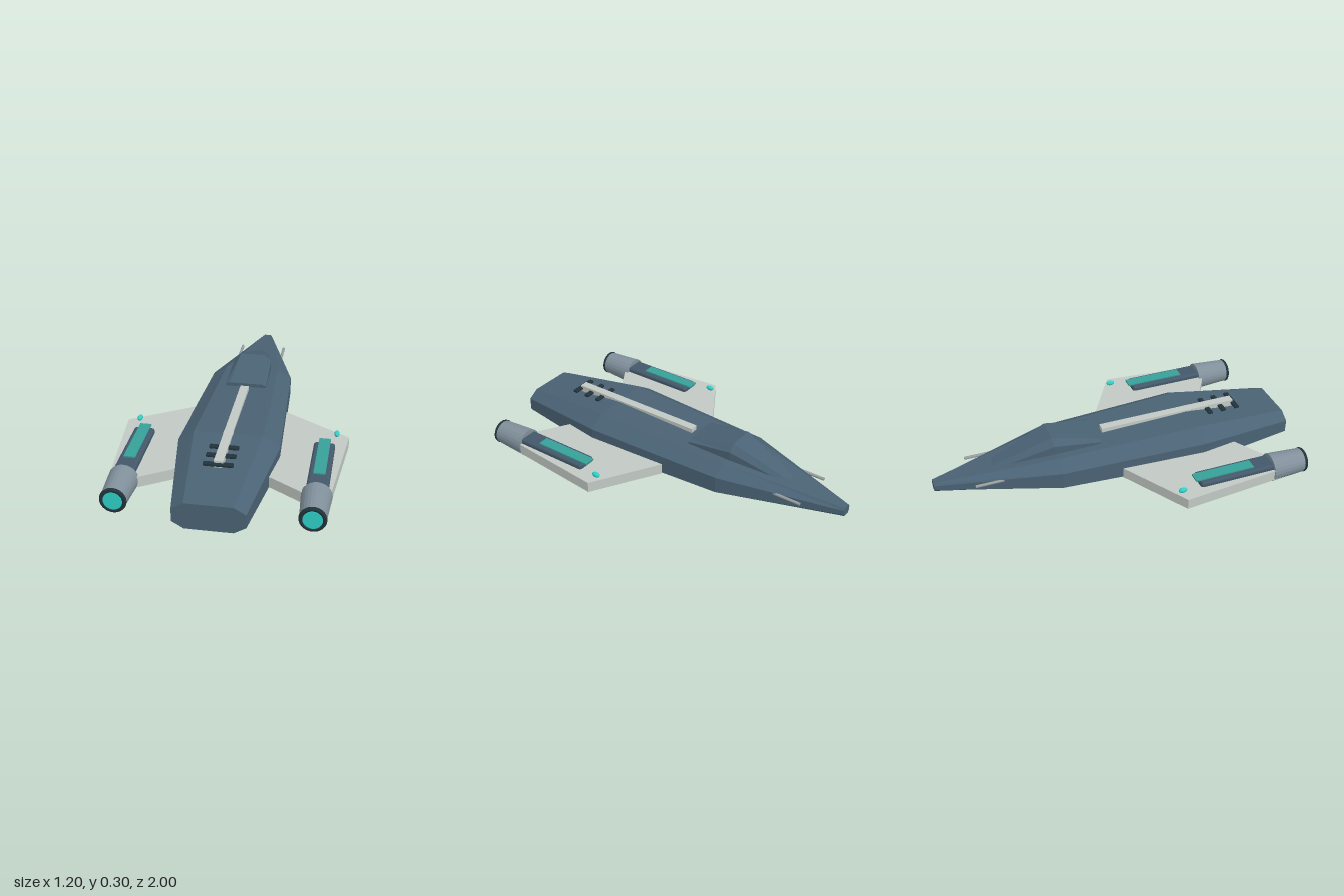
import * as THREE from 'three';
import { RoundedBoxGeometry } from 'three/addons/geometries/RoundedBoxGeometry.js';

const material = (name, color, flatShading = false) => {
  const m = new THREE.MeshStandardMaterial({ color, flatShading });
  m.name = name;
  return m;
};

// Joins equal-length rings (counter-clockwise seen from +z, ordered by z) and caps both ends
function loft(rings) {
  const pos = [], n = rings[0].length;
  const tri = (a, b, c) => pos.push(...a, ...b, ...c);
  for (let s = 0; s < rings.length - 1; s++) {
    const a = rings[s], b = rings[s + 1];
    for (let i = 0; i < n; i++) {
      const j = (i + 1) % n;
      tri(a[i], a[j], b[j]);
      tri(a[i], b[j], b[i]);
    }
  }
  const first = rings[0], last = rings[rings.length - 1];
  for (let i = 1; i < n - 1; i++) {
    tri(first[0], first[i + 1], first[i]);
    tri(last[0], last[i], last[i + 1]);
  }
  const g = new THREE.BufferGeometry();
  g.setAttribute('position', new THREE.Float32BufferAttribute(pos, 3));
  g.computeVertexNormals();
  return g;
}

// Chamfered eight-sided hull section
function octagon(z, w, y0, y1) {
  const cy = (y0 + y1) / 2, h = (y1 - y0) / 2, fx = w * 0.67, fy = h * 0.5;
  return [[w, -fy], [w, fy], [fx, h], [-fx, h], [-w, fy], [-w, -fy], [-fx, -h], [fx, -h]]
    .map(([x, y]) => [x, cy + y, z]);
}

// Canopy section: upright sides, chamfer, flat roof
function canopyRing(z, w, roof, base, shoulder, top) {
  return [[w, base], [w, shoulder], [roof, top], [-roof, top], [-w, shoulder], [-w, base]]
    .map(([x, y]) => [x, y, z]);
}

export function createModel() {
  const group = new THREE.Group();
  const hullMat = material('slate blue hull', 0x4a6274, true);
  const podMat = material('dark slate pod', 0x43586a);
  const wingMat = material('pale grey', 0xc2c9c4, true);
  const engineMat = material('steel grey', 0x80909b, true);
  const gunMat = material('gun grey', 0x979d9f);
  const darkMat = material('near black', 0x22333a);
  const glowMat = material('cyan glow', 0x2ed0c8);
  const tealMat = material('teal panel', 0x37a098);

  const add = (name, geometry, mat, x = 0, y = 0, z = 0, parent = group) => {
    const mesh = new THREE.Mesh(geometry, mat);
    mesh.name = name;
    mesh.position.set(x, y, z);
    parent.add(mesh);
    return mesh;
  };
  const rod = (rear, front, length, sides) =>
    new THREE.CylinderGeometry(rear, front, length, sides).rotateX(Math.PI / 2);

  // Hull, nose at -z
  add('hull', loft([
    octagon(-1, 0.028, 0.085, 0.135),
    octagon(-0.35, 0.225, 0.03, 0.215),
    octagon(0.45, 0.265, 0.004, 0.24),
    octagon(1, 0.18, 0.032, 0.175),
  ]), hullMat);

  // Canopy
  add('canopy', loft([
    canopyRing(-0.68, 0.03, 0.018, 0.15, 0.168, 0.175),
    canopyRing(-0.58, 0.063, 0.042, 0.16, 0.19, 0.214),
    canopyRing(-0.36, 0.106, 0.07, 0.19, 0.265, 0.3),
    canopyRing(-0.1, 0.113, 0.09, 0.2, 0.233, 0.243),
  ]), hullMat);

  // Dorsal spine and vents
  add('spine', new THREE.BoxGeometry(0.046, 0.038, 0.79), wingMat, 0, 0.23, 0.335);
  add('spineCollar', new THREE.CylinderGeometry(0.029, 0.029, 0.012, 6), wingMat, 0, 0.242, 0.455);
  for (const z of [0.57, 0.65, 0.732]) {
    add('vent', new RoundedBoxGeometry(0.15, 0.014, 0.028, 2, 0.004), darkMat, 0, 0.231, z);
  }

  for (const side of [1, -1]) {
    const label = side > 0 ? 'left' : 'right';

    // Wing slab, root buried in the hull
    const outline = [[0.15, -0.075], [0.6, 0.2], [0.54, 0.83], [0.15, 0.59]]
      .map(([x, z]) => new THREE.Vector2(side * x, -z));
    const wing = new THREE.ExtrudeGeometry(new THREE.Shape(outline), { depth: 0.06, bevelEnabled: false });
    add(label + 'Wing', wing.rotateX(-Math.PI / 2), wingMat, 0, 0.066, 0);

    // Engine pod with glowing nozzle
    const pod = new THREE.Group();
    pod.name = label + 'Engine';
    pod.position.set(side * 0.48, 0.102, 0);
    group.add(pod);
    add('podBody', new RoundedBoxGeometry(0.11, 0.1, 0.46, 3, 0.015), podMat, 0, 0, 0.535, pod);
    add('podPanel', new THREE.BoxGeometry(0.06, 0.009, 0.335), tealMat, 0, 0.053, 0.4525, pod);
    add('nozzle', rod(0.065, 0.077, 0.19, 24), engineMat, 0, 0, 0.825, pod);
    add('nozzleCap', rod(0.064, 0.064, 0.015, 24), darkMat, 0, 0, 0.924, pod);
    add('nozzleRing', new THREE.TorusGeometry(0.057, 0.011, 10, 28), darkMat, 0, 0, 0.927, pod);
    add('exhaustGlow', rod(0.048, 0.048, 0.008, 28), glowMat, 0, 0, 0.932, pod);

    // Wing marker light
    add(label + 'MarkerLight', new THREE.SphereGeometry(0.014, 16, 10).scale(1, 1, 1.7),
      glowMat, side * 0.535, 0.142, 0.197);

    // Nose gun, emerging from the hull flank
    add(label + 'Gun', rod(0.008, 0.008, 0.28, 10), gunMat, side * 0.128, 0.14, -0.66);
  }
  return group;
}
